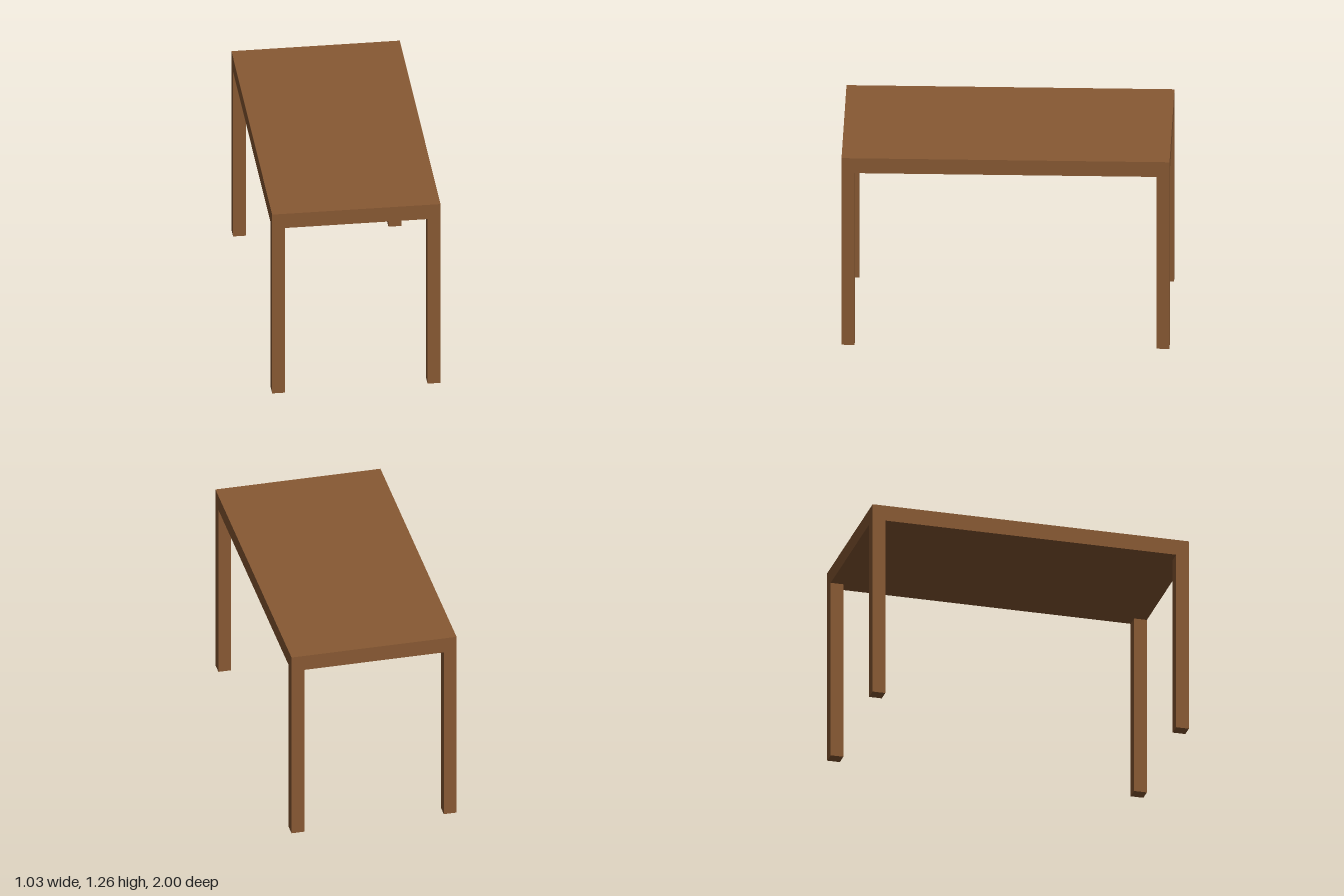
import * as THREE from 'three';

export function createModel() {
  const model = new THREE.Group();
  model.name = 'table';

  const wood = new THREE.MeshStandardMaterial({ color: 0x885933 });
  wood.name = 'brown wood';

  const width = 1.034, depth = 2, height = 1.26;
  const slab = 0.1, leg = 0.08;
  const legHeight = height - slab;

  // Solid slab top
  const top = new THREE.Mesh(new THREE.BoxGeometry(width, slab, depth), wood);
  top.name = 'tableTop';
  top.position.y = height - slab / 2;
  model.add(top);

  // Four square legs, flush with the corners of the top
  const legGeometry = new THREE.BoxGeometry(leg, legHeight, leg);
  for (const [zName, sz] of [['front', 1], ['back', -1]]) {
    for (const [xName, sx] of [['Left', 1], ['Right', -1]]) {
      const mesh = new THREE.Mesh(legGeometry, wood);
      mesh.name = `${zName}${xName}Leg`;
      mesh.position.set(sx * (width - leg) / 2, legHeight / 2, sz * (depth - leg) / 2);
      model.add(mesh);
    }
  }

  return model;
}
